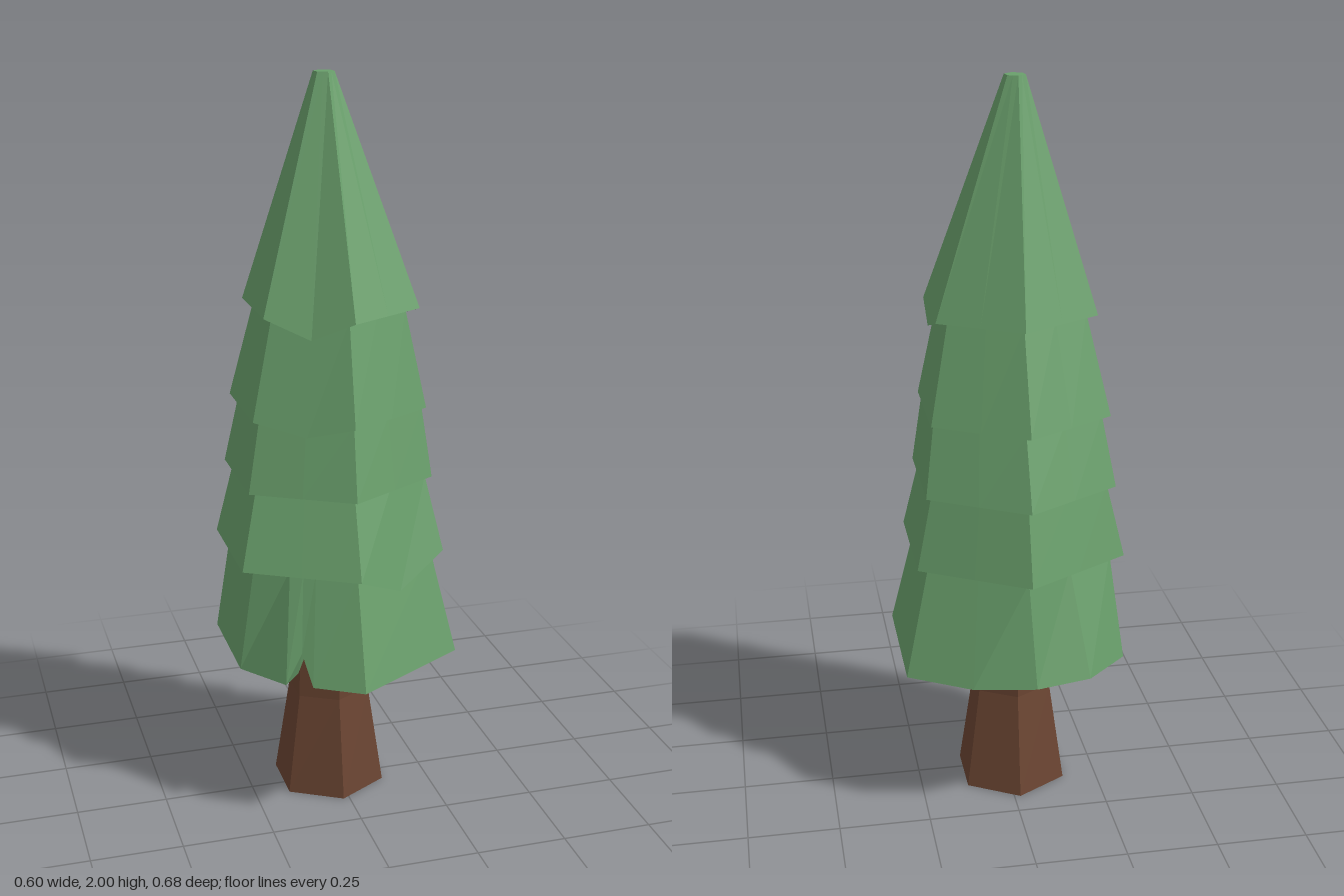
import * as THREE from 'three';

const GREEN = 0x6aa06c, BROWN = 0x6b4532;

// Corners of a hexagon with a corner facing front, from its x and z extents.
function hex(x0, x1, z0, z1, twist = 0) {
  return Array.from({ length: 6 }, (_, i) => {
    const a = i * Math.PI / 3 + twist;
    return [
      (x0 + x1) / 2 + (x1 - x0) / 2 * Math.sin(a) / Math.sin(Math.PI / 3),
      (z0 + z1) / 2 + (z1 - z0) / 2 * Math.cos(a),
    ];
  });
}

// Point on a hexagon's outline at t (0 = front corner, 1 = next corner towards +x ...).
function along(corners, t, y) {
  const i = Math.floor(t), f = t - i;
  const p = corners[i % 6], q = corners[(i + 1) % 6];
  return new THREE.Vector3(p[0] + (q[0] - p[0]) * f, y, p[1] + (q[1] - p[1]) * f);
}
const ringAt = (corners, ts, y) => ts.map(t => along(corners, t, y));

function centreOf(ring) {
  const c = ring.reduce((s, p) => s.add(p), new THREE.Vector3()).divideScalar(ring.length);
  return ring.map(() => c.clone());
}

// Skin a list of rings, each with the same number of points.
function loft(name, rings, color) {
  const pos = [];
  const tri = (a, b, c) => {
    const area = b.clone().sub(a).cross(c.clone().sub(a)).length();
    if (area > 1e-7) for (const p of [a, b, c]) pos.push(p.x, p.y, p.z);
  };
  for (let r = 0; r + 1 < rings.length; r++) {
    const lo = rings[r], hi = rings[r + 1], n = lo.length;
    for (let i = 0; i < n; i++) {
      const j = (i + 1) % n;
      tri(lo[i], lo[j], hi[j]);
      tri(lo[i], hi[j], hi[i]);
    }
  }
  const geo = new THREE.BufferGeometry();
  geo.setAttribute('position', new THREE.Float32BufferAttribute(pos, 3));
  geo.computeVertexNormals();
  const mesh = new THREE.Mesh(geo, new THREE.MeshStandardMaterial({ color, flatShading: true }));
  mesh.name = name;
  return mesh;
}

// Upper tiers: top and bottom hexagons, with drooping points { t: [x, y, z] } on the hem.
const TIERS = [
  { y: [1.4, 2], top: hex(-0.044, 0.004, -0.073, -0.017, 0.14), low: hex(-0.22, 0.2, -0.265, 0.213),
    droop: { 1.5: [0.205, 1.36, -0.03], 5.5: [-0.11, 1.35, 0.155] } },
  { y: [1.13, 1.4], top: hex(-0.195, 0.165, -0.215, 0.175), low: hex(-0.255, 0.218, -0.303, 0.243),
    droop: { 5.5: [-0.13, 1.1, 0.18] } },
  { y: [0.935, 1.13], top: hex(-0.235, 0.21, -0.265, 0.21), low: hex(-0.27, 0.236, -0.327, 0.257), droop: {} },
  { y: [0.73, 0.935], top: hex(-0.25, 0.22, -0.29, 0.23), low: hex(-0.298, 0.262, -0.338, 0.302),
    droop: { 0.5: [0.115, 0.66, 0.222] } },
];
const SKIRT_TOP = hex(-0.262, 0.232, -0.3, 0.257);

// Hem of the bottom skirt: t on the outline, then x, y, z, with a notch at front right.
const HEM = [
  [0, -0.016, 0.43, 0.34], [1, 0.3, 0.43, 0.155], [2, 0.3, 0.43, -0.208],
  [2.5, 0.135, 0.43, -0.305], [3, -0.033, 0.43, -0.333], [3.5, -0.185, 0.43, -0.3],
  [4, -0.3, 0.43, -0.196], [5, -0.3, 0.43, 0.102], [5.35, -0.205, 0.43, 0.23],
  [5.48, -0.16, 0.515, 0.228], [5.6, -0.14, 0.43, 0.266],
];

export function createModel() {
  const tree = new THREE.Group();
  tree.name = 'pineTree';

  // Four upper foliage tiers, each with an underside reaching in to the tier below
  const ts = Array.from({ length: 12 }, (_, i) => i / 2);
  TIERS.forEach(({ y, top, low, droop }, k) => {
    const next = k + 1 < TIERS.length ? TIERS[k + 1].top : SKIRT_TOP;
    const hem = ts.map(t => droop[t] ? new THREE.Vector3(...droop[t]) : along(low, t, y[0]));
    const crown = ringAt(top, ts, y[1]);
    const rings = [ringAt(next, ts, y[0]), hem, crown];
    if (k === 0) rings.push(centreOf(crown));
    tree.add(loft('foliageTier' + (k + 1), rings, GREEN));
  });

  // Hollow bottom skirt: ceiling, inner wall, rim, outer wall
  const skirtTs = HEM.map(h => h[0]);
  const hem = HEM.map(h => new THREE.Vector3(h[1], h[2], h[3]));
  const shrink = (p, f, y) => new THREE.Vector3(-0.01 + (p.x + 0.01) * f, y, (p.z) * f);
  const rim = hem.map(p => shrink(p, 0.75, p.y));
  const ceiling = hem.map(p => shrink(p, 0.6, 0.7));
  tree.add(loft('foliageSkirt',
    [centreOf(ceiling), ceiling, rim, hem, ringAt(SKIRT_TOP, skirtTs, 0.73)], GREEN));

  // Trunk, flared towards the foot
  const six = [0, 1, 2, 3, 4, 5];
  const foot = ringAt(hex(-0.155, 0.121, -0.181, 0.136), six, 0);
  tree.add(loft('trunk', [
    centreOf(foot), foot,
    ringAt(hex(-0.118, 0.082, -0.128, 0.094), six, 0.29),
    ringAt(hex(-0.112, 0.08, -0.121, 0.09), six, 0.7),
  ], BROWN));

  return tree;
}
